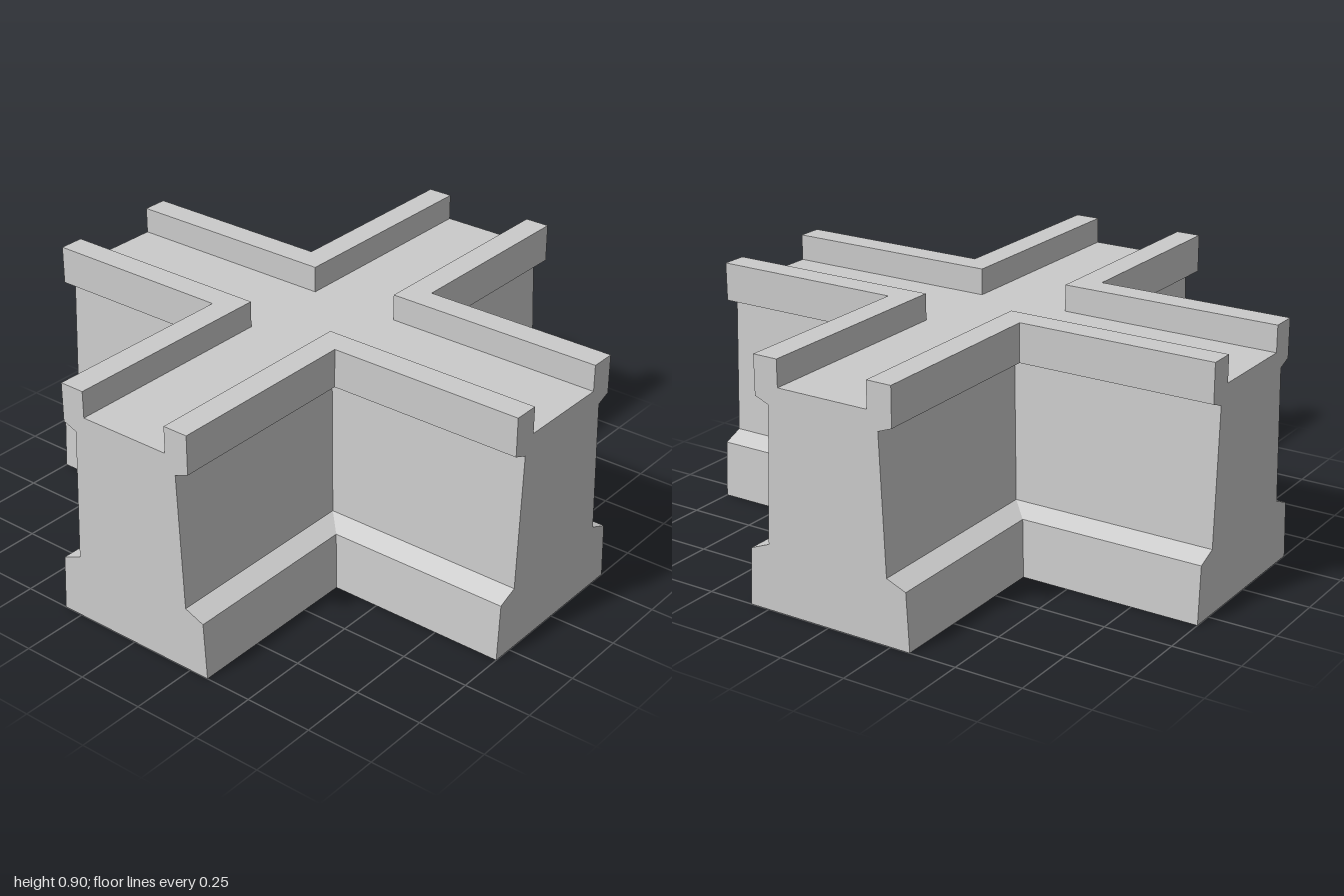
import * as THREE from 'three';
import { mergeGeometries } from 'three/addons/utils/BufferGeometryUtils.js';

// Half cross-section of a wall: plinth, battered face, overhang, parapet, walkway
const HALF = [
  [0.325, 0], [0.313, 0.21], [0.239, 0.24], [0.217, 0.735],
  [0.27, 0.755], [0.27, 0.897], [0.176, 0.897], [0.176, 0.8],
];

function wallArmGeometry() {
  // Full outline, counterclockwise, with centre points so the arms mitre together
  const outline = [
    [0, 0], ...HALF, [0, 0.8],
    ...HALF.map(([x, y]) => [-x, y]).reverse(),
  ];

  // Long faces run from the outer end (z = 1) to the mitre line (z = |x|)
  const positions = [];
  outline.forEach(([x0, y0], i) => {
    const [x1, y1] = outline[(i + 1) % outline.length];
    const a0 = [x0, y0, 1], b0 = [x0, y0, Math.abs(x0)];
    const a1 = [x1, y1, 1], b1 = [x1, y1, Math.abs(x1)];
    positions.push(...a0, ...b0, ...b1, ...a0, ...b1, ...a1);
  });
  const sides = new THREE.BufferGeometry();
  sides.setAttribute('position', new THREE.Float32BufferAttribute(positions, 3));
  sides.computeVertexNormals();

  // Flat outer end
  const shape = new THREE.Shape(outline.map(([x, y]) => new THREE.Vector2(x, y)));
  const end = new THREE.ShapeGeometry(shape).toNonIndexed().translate(0, 0, 1);
  end.deleteAttribute('uv');

  return mergeGeometries([sides, end]);
}

export function createModel() {
  const model = new THREE.Group();
  model.name = 'wallCrossing';
  const material = new THREE.MeshStandardMaterial({ color: 0xcccccc, flatShading: true });
  const geometry = wallArmGeometry();

  // Four identical arms meeting at the centre
  ['frontWall', 'leftWall', 'backWall', 'rightWall'].forEach((name, i) => {
    const arm = new THREE.Mesh(geometry, material);
    arm.name = name;
    arm.rotation.y = i * Math.PI / 2;
    model.add(arm);
  });
  return model;
}
